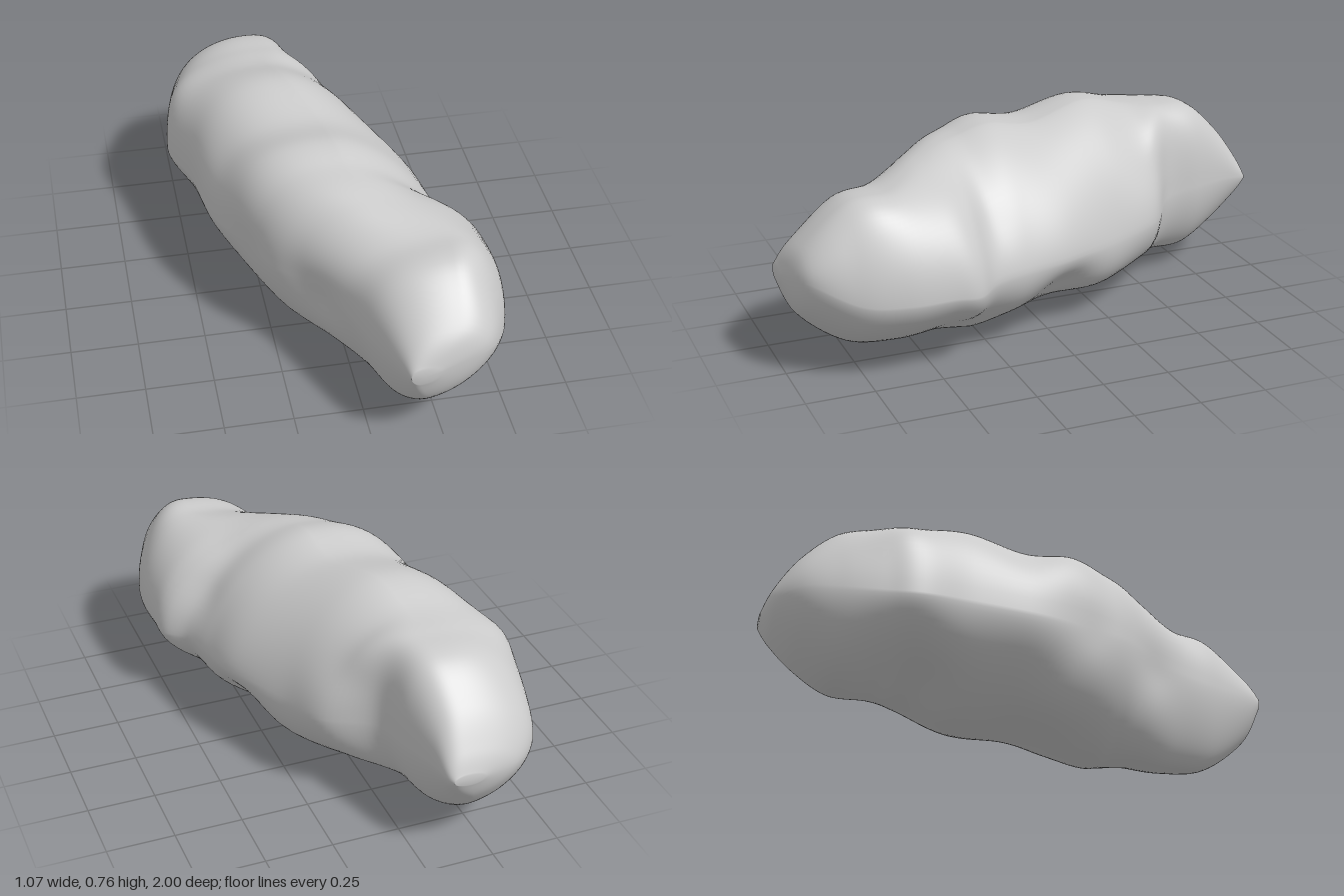
import * as THREE from 'three';

// Cross-sections along the body:
// z, left x, right x, bottom y, top y, x of top, x of bottom, y of left edge, y of right edge
const sections = [
  [-1.00, -0.20, -0.09, 0.33, 0.37, -0.14, -0.15, 0.35, 0.35],
  [-0.965, -0.34, -0.07, 0.25, 0.44, -0.16, -0.18, 0.35, 0.36],
  [-0.88, -0.44, -0.05, 0.15, 0.56, -0.18, -0.20, 0.36, 0.37],
  [-0.75, -0.49, -0.01, 0.07, 0.675, -0.17, -0.20, 0.35, 0.37],
  [-0.60, -0.52, 0.03, 0.08, 0.70, -0.14, -0.16, 0.34, 0.36],
  [-0.47, -0.53, 0.19, 0.09, 0.715, -0.14, -0.10, 0.34, 0.34],
  [-0.28, -0.47, 0.265, 0.04, 0.76, -0.10, -0.06, 0.36, 0.32],
  [-0.04, -0.43, 0.38, 0.06, 0.725, -0.02, 0.00, 0.36, 0.32],
  [0.14, -0.36, 0.41, 0.025, 0.75, 0.00, 0.03, 0.37, 0.32],
  [0.27, -0.30, 0.45, 0.002, 0.725, 0.02, 0.05, 0.38, 0.31],
  [0.36, -0.25, 0.52, 0.018, 0.71, 0.05, 0.07, 0.38, 0.30],
  [0.46, -0.17, 0.53, 0.033, 0.685, 0.13, 0.09, 0.38, 0.31],
  [0.62, -0.05, 0.53, 0.04, 0.645, 0.29, 0.13, 0.37, 0.31],
  [0.78, 0.02, 0.49, 0.07, 0.63, 0.30, 0.16, 0.36, 0.32],
  [0.94, 0.085, 0.39, 0.20, 0.49, 0.27, 0.18, 0.36, 0.39],
  [0.995, 0.11, 0.20, 0.32, 0.38, 0.15, 0.14, 0.35, 0.36],
];

// Roundness of each section's corners: top right, top left, bottom left, bottom right
const corners = [
  [2.0, 2.0, 2.0, 2.0],
  [2.4, 2.0, 1.8, 1.7],
  [2.7, 2.0, 1.8, 1.7],
  [2.9, 2.1, 1.75, 1.8],
  [3.0, 2.4, 1.65, 1.8],
  [1.8, 2.5, 1.6, 1.8],
  [1.65, 2.5, 1.65, 1.8],
  [1.6, 2.7, 1.7, 1.7],
  [1.6, 2.9, 1.75, 1.7],
  [1.65, 2.7, 1.8, 1.7],
  [1.85, 2.5, 1.8, 1.6],
  [2.1, 2.4, 1.8, 1.55],
  [2.15, 2.5, 1.8, 1.55],
  [2.0, 2.4, 1.9, 1.55],
  [2.3, 2.1, 2.0, 1.6],
  [2.0, 2.0, 2.0, 2.0],
];

// Local bumps (+) and dents (-): x, y, z, radius, amount
const lumps = [
  [0.38, 0.50, 0.28, 0.10, -0.015],
  [0.34, 0.18, 0.34, 0.12, -0.025],
  [0.34, 0.22, 0.16, 0.13, 0.02],
  [0.32, 0.18, -0.03, 0.10, -0.03],
  [0.24, 0.17, -0.25, 0.14, 0.02],
  [0.12, 0.52, -0.52, 0.10, -0.015],
  [0.24, 0.60, 0.36, 0.12, -0.02],
  [-0.15, 0.33, 0.50, 0.12, -0.03],
  [-0.36, 0.35, 0.20, 0.10, -0.015],
  [-0.36, 0.60, -0.08, 0.13, -0.015],
  [-0.48, 0.60, -0.55, 0.11, 0.02],
  [-0.25, 0.12, -0.40, 0.14, -0.02],
  [-0.20, 0.12, 0.05, 0.14, 0.02],
  [0.37, 0.62, 0.68, 0.10, 0.012],
];

// Smooth value of one table column at fractional row t
function sample(table, column, t) {
  const i = Math.min(Math.floor(t), table.length - 2);
  const f = t - i;
  const at = (k) => table[THREE.MathUtils.clamp(k, 0, table.length - 1)][column];
  const [a, b, c, d] = [at(i - 1), at(i), at(i + 1), at(i + 2)];
  return b + 0.5 * f * (c - a + f * (2 * a - 5 * b + 4 * c - d + f * (3 * (b - c) + d - a)));
}

// Point on a section made of four superellipse quarters
function surfacePoint(t, angle) {
  const [z, left, right, bottom, top, xTop, xBottom, yLeft, yRight] =
    sections[0].map((_, column) => sample(sections, column, t));
  const c = Math.cos(angle), s = Math.sin(angle);
  const cx = THREE.MathUtils.lerp(xBottom, xTop, (s + 1) / 2);
  const cy = THREE.MathUtils.lerp(yLeft, yRight, (c + 1) / 2);
  const n = sample(corners, s > 0 ? (c > 0 ? 0 : 1) : (c > 0 ? 3 : 2), t);
  const u = Math.abs(c) ** (2 / n), v = Math.abs(s) ** (2 / n);
  const p = new THREE.Vector3(
    cx + u * (c > 0 ? right - cx : left - cx),
    cy + v * (s > 0 ? top - cy : bottom - cy),
    z
  );
  const out = new THREE.Vector3(p.x - (left + right) / 2, p.y - (bottom + top) / 2, 0).normalize();
  let push = 0;
  for (const [x, y, lz, r, amount] of lumps) {
    const d2 = (p.x - x) ** 2 + (p.y - y) ** 2 + (p.z - lz) ** 2;
    push += amount * Math.exp(-d2 / (r * r));
  }
  return p.addScaledVector(out, push);
}

function buildBody() {
  const rings = 120, sides = 80;
  const positions = [], index = [];
  for (let i = 0; i <= rings; i++) {
    for (let j = 0; j < sides; j++) {
      const p = surfacePoint((i / rings) * (sections.length - 1), (j / sides) * Math.PI * 2);
      positions.push(p.x, p.y, p.z);
    }
  }
  // Close both tips
  const backTip = positions.length / 3, frontTip = backTip + 1;
  positions.push(-0.145, 0.35, -1.002, 0.15, 0.352, 0.998);
  for (let j = 0; j < sides; j++) {
    const k = (j + 1) % sides;
    for (let i = 0; i < rings; i++) {
      const a = i * sides + j, b = i * sides + k;
      index.push(a, b, a + sides, b, b + sides, a + sides);
    }
    index.push(backTip, k, j, frontTip, rings * sides + j, rings * sides + k);
  }
  const geometry = new THREE.BufferGeometry();
  geometry.setAttribute('position', new THREE.Float32BufferAttribute(positions, 3));
  geometry.setIndex(index);
  geometry.computeVertexNormals();
  return geometry;
}

export function createModel() {
  const group = new THREE.Group();
  group.name = 'asteroid';
  const body = new THREE.Mesh(buildBody(), new THREE.MeshStandardMaterial({ color: 0xcccccc }));
  body.name = 'rockBody';
  group.add(body);
  return group;
}
